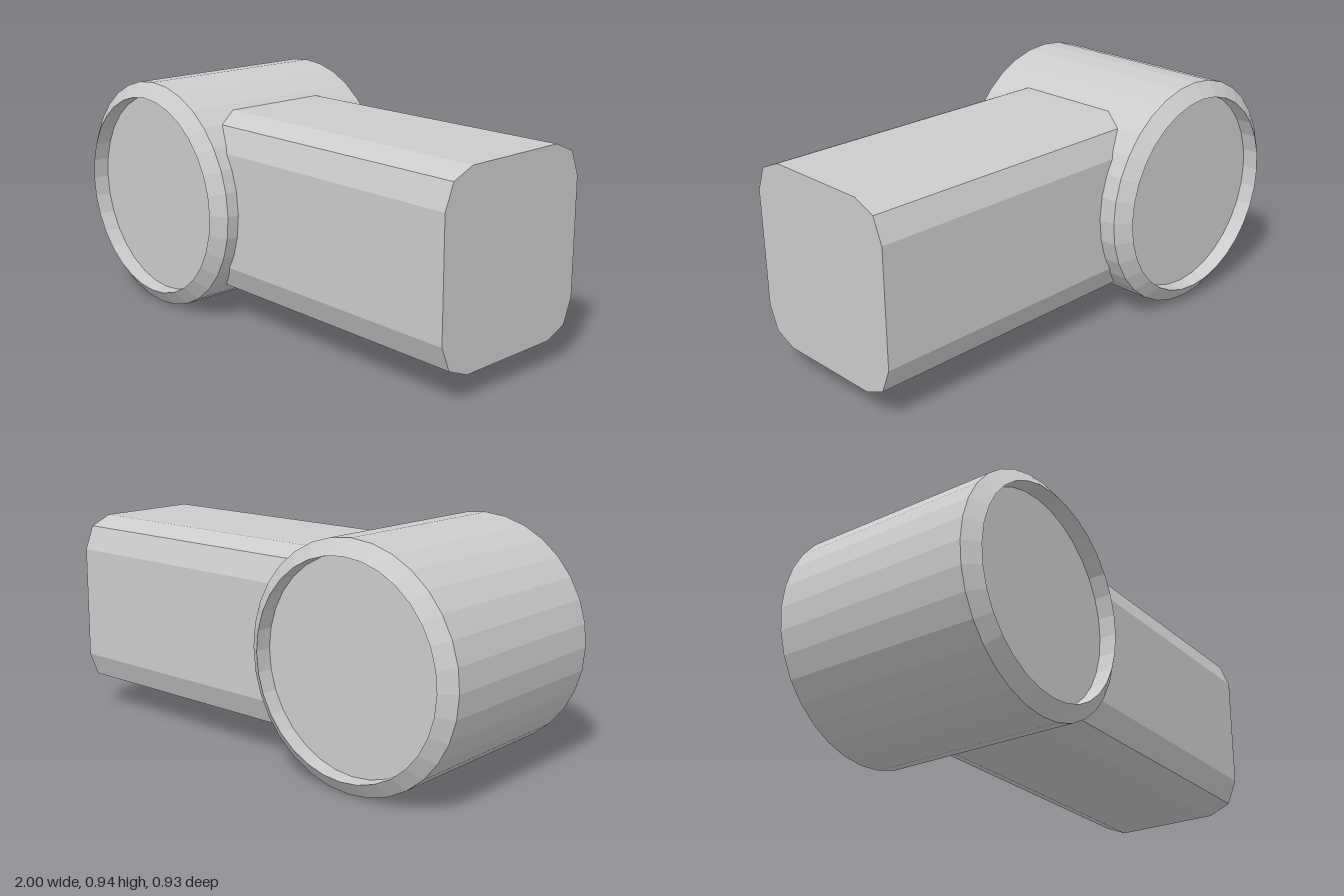
import * as THREE from 'three';

const material = new THREE.MeshStandardMaterial({ color: 0xcccccc, flatShading: true });

// Cross joint barrel: bevelled rims and a recessed disc at each end
function makeBarrel() {
  const half = [[0.408, 0.39], [0.408, 0.46], [0.467, 0.415]];
  const profile = [
    [0, -0.39],
    ...half.map(([r, h]) => [r, -h]),
    ...half.slice().reverse(),
    [0, 0.39],
  ].map(([r, h]) => new THREE.Vector2(r, h));
  const geometry = new THREE.LatheGeometry(profile, 32);
  geometry.rotateX(Math.PI / 2);
  const mesh = new THREE.Mesh(geometry, material);
  mesh.name = 'barrel';
  mesh.position.set(-0.533, 0, 0);
  return mesh;
}

// Straight arm: a rectangle with two-step rounded corners, swept along x
function makeArm() {
  const corner = [[0.354, 0.233], [0.315, 0.33], [0.223, 0.369]];
  const back = corner.slice().reverse();
  const outline = [
    ...corner,
    ...back.map(([z, y]) => [-z, y]),
    ...corner.map(([z, y]) => [-z, -y]),
    ...back.map(([z, y]) => [z, -y]),
  ].map(([z, y]) => new THREE.Vector2(z, y));
  const geometry = new THREE.ExtrudeGeometry(new THREE.Shape(outline), {
    depth: 1.5,
    bevelEnabled: false,
  });
  geometry.rotateY(Math.PI / 2);
  const mesh = new THREE.Mesh(geometry, material);
  mesh.name = 'arm';
  mesh.position.set(-0.5, 0, 0.01);
  return mesh;
}

export function createModel() {
  const joint = new THREE.Group();
  joint.name = 'joint';
  joint.add(makeBarrel(), makeArm());
  // The whole piece leans back very slightly
  joint.position.y = 0.472;
  joint.rotation.x = 0.007;

  const model = new THREE.Group();
  model.name = 'pivotArm';
  model.add(joint);
  return model;
}
